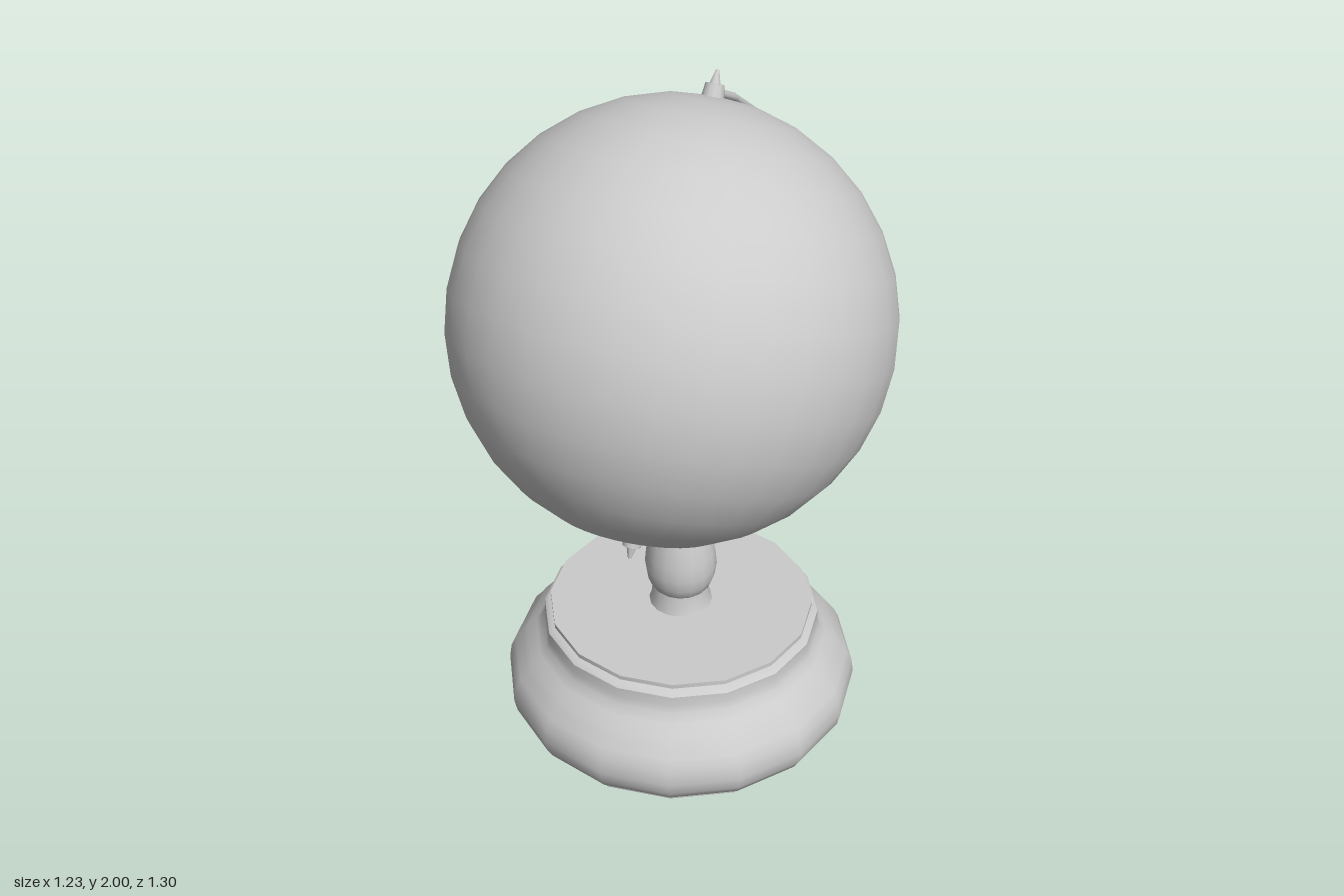
import * as THREE from 'three';
import { toCreasedNormals } from 'three/addons/utils/BufferGeometryUtils.js';

const CENTRE = new THREE.Vector3(0, 1.375, 0.035); // centre of the globe
const RADIUS = 0.615;
const TILT = -0.41;
const STAND_Z = -0.02; // axis of base and column

export function createModel() {
  const group = new THREE.Group();
  const material = new THREE.MeshStandardMaterial({ color: 0xcccccc });

  const add = (name, geometry, parent = group) => {
    const mesh = new THREE.Mesh(geometry, material);
    mesh.name = name;
    parent.add(mesh);
    return mesh;
  };
  const turned = (name, profile, segments) => {
    const points = profile.map(([r, y]) => new THREE.Vector2(r, y));
    const geometry = toCreasedNormals(new THREE.LatheGeometry(points, segments), 0.75);
    add(name, geometry).position.z = STAND_Z;
  };

  // Moulded round base with a thin top plate
  turned('base', [
    [0, 0], [0.485, 0], [0.487, 0.015], [0.51, 0.03], [0.527, 0.06], [0.535, 0.1],
    [0.528, 0.145], [0.512, 0.18], [0.49, 0.205], [0.475, 0.23], [0.445, 0.255],
    [0.424, 0.28], [0.417, 0.305], [0.416, 0.335], [0.402, 0.345], [0, 0.345],
  ], 16);
  turned('basePlate', [[0, 0.34], [0.385, 0.34], [0.388, 0.35], [0.397, 0.353], [0.397, 0.367], [0, 0.367]], 16);

  // Turned column: flared foot, bulging body, collar
  turned('column', [
    [0, 0.365], [0.096, 0.365], [0.088, 0.39], [0.084, 0.428], [0.09, 0.435], [0.102, 0.465],
    [0.108, 0.505], [0.104, 0.55], [0.095, 0.6], [0.082, 0.65], [0.08, 0.657],
    [0.086, 0.675], [0.094, 0.692], [0.094, 0.702], [0, 0.702],
  ], 16);

  // Thin bracket joining the column to the arm
  const bracket = new THREE.Shape([[-0.035, 0.695], [0.035, 0.695], [0.055, 0.715], [0.1, 0.738], [-0.1, 0.738], [-0.055, 0.715]]
    .map(([z, y]) => new THREE.Vector2(z, y)));
  const bracketMesh = add('bracket', new THREE.ExtrudeGeometry(bracket, { depth: 0.02, bevelEnabled: false }).translate(0, 0, -0.01));
  bracketMesh.rotation.y = Math.PI / 2;
  bracketMesh.position.z = STAND_Z;

  // Faceted arm from pole to pole, given as [z, y]
  const arm = new THREE.CatmullRomCurve3([
    [-0.217, 1.945], [-0.345, 1.878], [-0.5, 1.767], [-0.589, 1.629], [-0.631, 1.48],
    [-0.636, 1.326], [-0.602, 1.172], [-0.541, 1.019], [-0.446, 0.891], [-0.297, 0.8],
    [-0.117, 0.741], [0.074, 0.741], [0.281, 0.801],
  ].map(([z, y]) => new THREE.Vector3(0, y, z)));
  // Place the rings exactly on the listed points
  arm.getPointAt = (t, target) => arm.getPoint(t, target);
  arm.getTangentAt = (t, target) => arm.getTangent(t, target);
  add('arm', new THREE.TubeGeometry(arm, 12, 0.012, 8));

  // Tilted globe with a knob and spike at each pole
  const globe = new THREE.Group();
  globe.name = 'globeAssembly';
  globe.position.copy(CENTRE);
  globe.rotation.x = TILT;
  group.add(globe);
  add('globe', new THREE.SphereGeometry(RADIUS, 32, 16), globe);
  for (const [name, turn] of [['top', 0], ['bottom', Math.PI]]) {
    const pole = new THREE.Group();
    pole.name = name + 'Pole';
    pole.rotation.x = turn;
    globe.add(pole);
    add(name + 'Knob', new THREE.CylinderGeometry(0.026, 0.032, 0.045, 12), pole).position.y = 0.623;
    add(name + 'Spike', new THREE.CylinderGeometry(0.005, 0.017, 0.04, 8), pole).position.y = 0.662;
  }
  return group;
}
